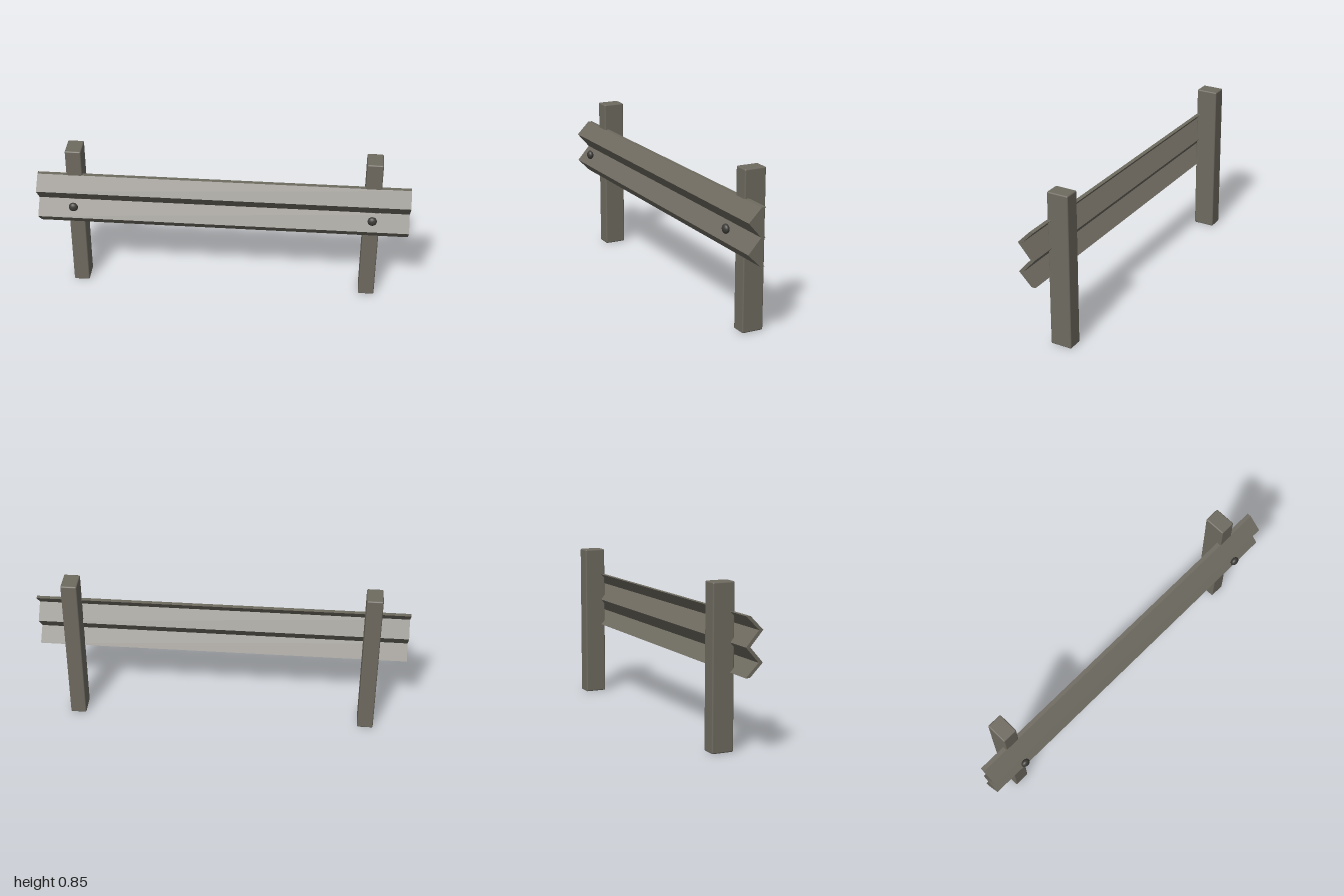
import * as THREE from 'three';
import { RoundedBoxGeometry } from 'three/addons/geometries/RoundedBoxGeometry.js';

export function createModel() {
  const model = new THREE.Group();
  model.name = 'guardRail';

  const steel = new THREE.MeshStandardMaterial({ color: 0x6e6a60 });
  steel.name = 'weathered steel';
  const iron = new THREE.MeshStandardMaterial({ color: 0x3c3b37 });
  iron.name = 'dark iron';

  const add = (name, geometry, material, x, y, z) => {
    const mesh = new THREE.Mesh(geometry, material);
    mesh.name = name;
    mesh.position.set(x, y, z);
    model.add(mesh);
    return mesh;
  };

  // Folded rail: W-shaped section given as (z, y), extruded along x
  const ys = [0.702, 0.631, 0.551, 0.472, 0.402];
  const front = ys.map((y, i) => new THREE.Vector2(i % 2 ? 0.081 : 0.011, y));
  const back = front.map((p) => new THREE.Vector2(p.x - 0.023, p.y)).reverse();
  // shape x is negated so that a quarter turn about y maps it to +z
  const section = new THREE.Shape([...front, ...back].map((p) => new THREE.Vector2(-p.x, p.y)));
  const railGeometry = new THREE.ExtrudeGeometry(section, { depth: 2, bevelEnabled: false });
  railGeometry.translate(0, 0, -1).rotateY(Math.PI / 2);
  add('rail', railGeometry, steel, 0, 0, 0);

  // Posts with softened edges, and a flattened bolt head in front of each
  const postGeometry = new RoundedBoxGeometry(0.086, 0.85, 0.119, 2, 0.007);
  const boltGeometry = new THREE.SphereGeometry(0.025, 16, 12).scale(1, 1, 0.7);
  for (const [side, x] of [['left', 0.8], ['right', -0.8]]) {
    add(side + 'Post', postGeometry, steel, x, 0.425, -0.0475);
    add(side + 'Bolt', boltGeometry, iron, x, 0.551, 0.0915);
  }
  return model;
}
